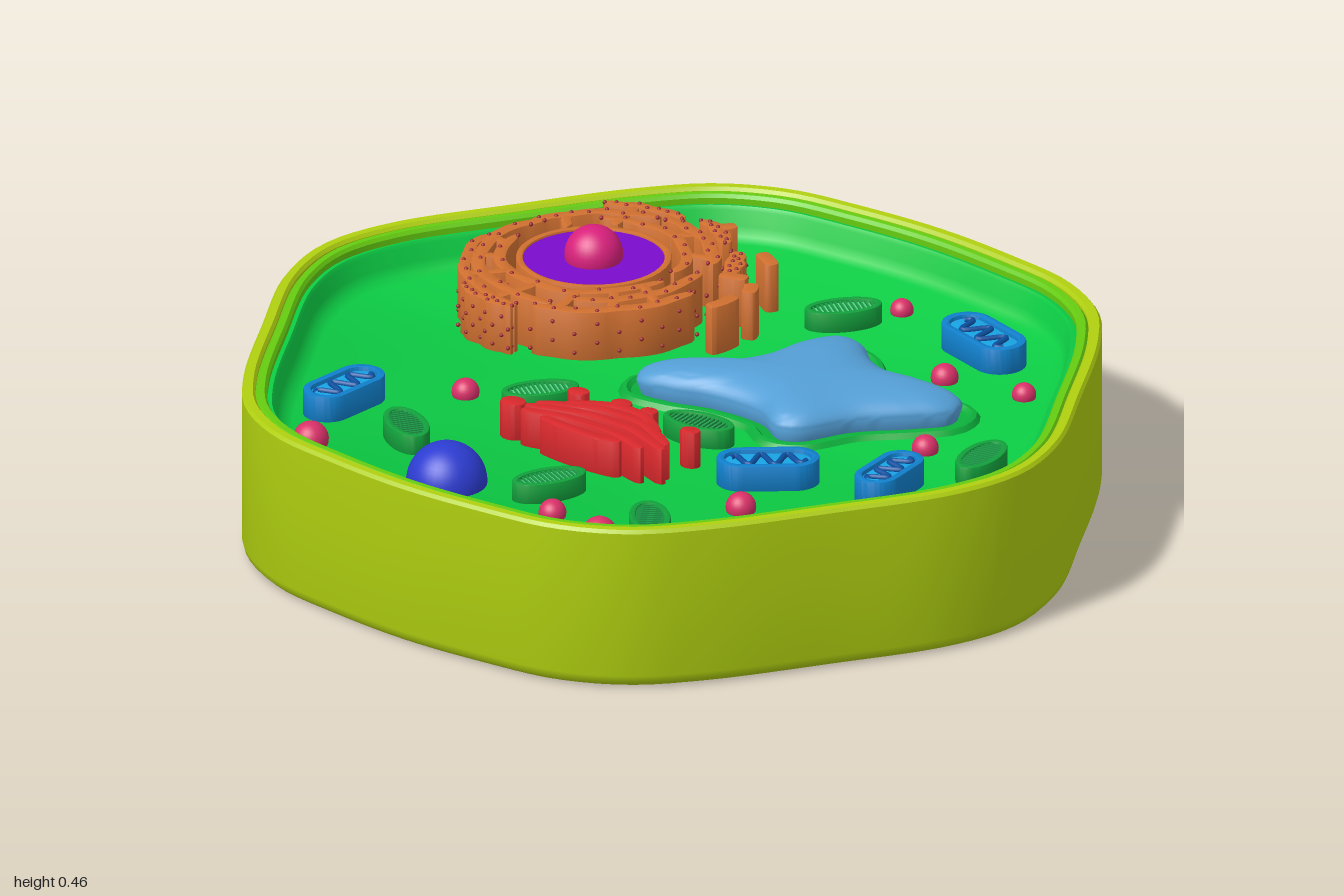
import * as THREE from 'three';
import { mergeGeometries, toCreasedNormals } from 'three/addons/utils/BufferGeometryUtils.js';

const FLOOR = 0.28;
const V2 = (p) => new THREE.Vector2(p[0], p[1]);

function add(parent, name, geo, color, x = 0, y = 0, z = 0) {
  const mat = new THREE.MeshStandardMaterial({ color });
  const mesh = new THREE.Mesh(geo, mat);
  mesh.name = name;
  mesh.position.set(x, y, z);
  parent.add(mesh);
  return mesh;
}

// Closed smooth outline in the x/z plane, running from +x towards +z
function outline(points, n) {
  const c = new THREE.CatmullRomCurve3(points.map(([x, z]) => new THREE.Vector3(x, 0, z)), true);
  return Array.from({ length: n }, (_, i) => {
    const p = c.getPointAt(i / n), t = c.getTangentAt(i / n);
    return { x: p.x, z: p.z, nx: t.z, nz: -t.x };
  });
}

// Rings of one outline; each profile entry is [inset, y, scale about the centre]
function loft(line, profile, cx = 0, cz = 0, crease = 0.6) {
  const pos = [], idx = [], n = line.length;
  for (const [inset, y, s = 1] of profile)
    for (const p of line)
      pos.push(cx + (p.x - p.nx * inset - cx) * s, y, cz + (p.z - p.nz * inset - cz) * s);
  for (let i = 0; i < profile.length - 1; i++)
    for (let j = 0; j < n; j++) {
      const a = i * n + j, b = i * n + (j + 1) % n;
      if (profile[i][2] !== 0) idx.push(a, a + n, b);
      if (profile[i + 1][2] !== 0) idx.push(b, a + n, b + n);
    }
  const g = new THREE.BufferGeometry();
  g.setAttribute('position', new THREE.Float32BufferAttribute(pos, 3));
  g.setIndex(idx);
  return toCreasedNormals(g, crease);
}

// Flat shape (x, z) extruded down from y = top
function slab(shape, top, height, bevel = 0.006) {
  const g = new THREE.ExtrudeGeometry(shape, {
    depth: height - bevel, bevelEnabled: true, bevelSize: bevel, bevelThickness: bevel,
    bevelSegments: 2, curveSegments: 20,
  });
  g.rotateX(Math.PI / 2).translate(0, top - bevel, 0);
  return toCreasedNormals(g, 0.7);
}

// Round-ended band of half width w along a path
function ribbon(points, w, n = 24) {
  const c = new THREE.SplineCurve(points.map(V2)), L = [], R = [];
  for (let i = 0; i <= n; i++) {
    const t = i / n, p = c.getPoint(t), d = c.getTangent(t);
    const k = w * (0.25 + 0.75 * Math.sqrt(1 - Math.abs(2 * t - 1) ** 6));
    L.push(new THREE.Vector2(p.x - d.y * k, p.y + d.x * k));
    R.unshift(new THREE.Vector2(p.x + d.y * k, p.y - d.x * k));
  }
  return new THREE.Shape([...L, ...R]);
}

function ellipse(a, b) {
  return new THREE.Shape().absellipse(0, 0, a, b, 0, Math.PI * 2);
}

function buildShell(g) {
  const q = [[0.935, 0], [0.92, 0.22], [0.89, 0.4], [0.81, 0.55], [0.68, 0.665], [0.43, 0.82], [0.18, 0.96]];
  const inner = q.slice(1);
  const flip = (list, sx, sz) => list.map(([x, z]) => [x * sx, z * sz]);
  const line = outline([
    ...q, [0, 1], ...flip(inner, -1, 1).reverse(), [-0.935, 0],
    ...flip(inner, -1, -1), [0, -1], ...flip(inner, 1, -1).reverse(),
  ], 144);
  add(g, 'cellWall', loft(line, [[0.03, 0, 0], [0.03, 0], [0.015, 0.004], [0.004, 0.015], [0, 0.03],
    [0, 0.372], [0.006, 0.38], [0.024, 0.38], [0.03, 0.372], [0.03, 0.34]]), 0xb0d010);
  add(g, 'cellMembrane', loft(line, [[0.03, 0.34], [0.03, 0.366], [0.036, 0.374], [0.05, 0.374],
    [0.056, 0.366], [0.056, 0.33]]), 0x66cc10);
  add(g, 'cytoplasm', loft(line, [[0.056, 0.33], [0.056, 0.352], [0.066, 0.354], [0.072, 0.345], [0.078, 0.31],
    [0.09, 0.29], [0.11, FLOOR], [0.11, FLOOR, 0]]), 0x0ccc44);
}

function buildVacuole(g) {
  const cx = 0.17, cz = 0.25;
  const line = outline([[-0.035, -0.07], [0.02, -0.1], [0.07, -0.05], [0.13, 0.03], [0.22, 0.075], [0.35, 0.095],
    [0.425, 0.14], [0.42, 0.2], [0.36, 0.28], [0.33, 0.37], [0.34, 0.48], [0.33, 0.56], [0.27, 0.58], [0.2, 0.53],
    [0.1, 0.44], [-0.02, 0.38], [-0.04, 0.33], [0, 0.25], [0, 0.12], [-0.03, 0.02]], 96);
  const dome = Array.from({ length: 13 }, (_, i) => {
    const a = i / 12 * Math.PI / 2;
    return [0, FLOOR + 0.03 + 0.055 * Math.sin(a), i === 12 ? 0 : Math.cos(a) ** 0.6];
  });
  add(g, 'vacuole', loft(line, [[0.01, FLOOR], ...dome], cx, cz, 1.2), 0x549fd6);
  add(g, 'vacuoleLip', loft(line, [[-0.04, FLOOR], [-0.032, FLOOR + 0.012], [-0.022, FLOOR + 0.014],
    [-0.012, FLOOR + 0.004], [0.01, FLOOR + 0.002]]), 0x0cb03c);
}

function buildNucleus(g) {
  const cx = 0.305, cz = -0.48, top = 0.394;
  const at = (r, deg) => [cx + r * Math.cos(deg * Math.PI / 180), cz + r * Math.sin(deg * Math.PI / 180)];
  add(g, 'nucleus', new THREE.CylinderGeometry(0.158, 0.158, 0.103, 64), 0x7a0ccc, cx, 0.3315, cz);
  add(g, 'nucleolus', new THREE.SphereGeometry(0.065, 32, 20), 0xd8207c, cx, 0.395, cz);
  const ring = ellipse(0.17, 0.17);
  ring.holes.push(ellipse(0.159, 0.159));
  add(g, 'nuclearEnvelope', slab(ring, 0.388, 0.108, 0.002), 0xd07030, cx, 0, cz);

  // Folded sheets: [start radius, start angle, end radius, end angle, half width]
  const folds = [[0.33, 172, 0.26, 255, 0.011], [0.285, 160, 0.225, 290, 0.013], [0.21, 95, 0.205, 262, 0.012],
    [0.315, 165, 0.305, 95, 0.014], [0.255, 150, 0.255, 75, 0.013], [0.225, 280, 0.25, 355, 0.012],
    [0.255, 0, 0.265, 62, 0.014], [0.205, -35, 0.205, 80, 0.011], [0.29, 325, 0.285, 365, 0.011],
    [0.345, 172, 0.335, 200, 0.009], [0.31, 12, 0.3, 38, 0.014], [0.315, 48, 0.32, 68, 0.016]];
  // Short bridges between the sheets: [angle, inner radius, outer radius]
  for (const [a, r0, r1] of [[178, 0.21, 0.325], [205, 0.21, 0.31], [228, 0.21, 0.29], [250, 0.2, 0.26], [150, 0.2, 0.31],
    [128, 0.21, 0.31], [108, 0.2, 0.3], [300, 0.17, 0.23], [335, 0.17, 0.28], [20, 0.2, 0.26], [50, 0.2, 0.26]])
    folds.push([r0, a, r1, a + 5, 0.009]);
  const er = new THREE.Group();
  er.name = 'endoplasmicReticulum';
  g.add(er);
  const sheets = [], dots = [];
  folds.forEach(([r0, a0, r1, a1, w], k) => {
    const pts = Array.from({ length: 9 }, (_, i) => {
      const t = i / 8;
      return at(r0 + (r1 - r0) * t + 0.004 * Math.sin(i * 2 + k), a0 + (a1 - a0) * t);
    });
    sheets.push(slab(ribbon(pts, w), top, top - FLOOR, 0.003));
    if (k < 12) pts.forEach(([x, z], i) => {
      const s = i % 2 ? 1 : -1, rx = (x - cx) / r0, rz = (z - cz) / r0;
      dots.push([x + rx * w * 0.5 * s, top, z + rz * w * 0.5 * s]);
      for (const y of [0.31, 0.355]) dots.push([x + rx * (w + 0.003), y + 0.012 * s, z + rz * (w + 0.003)]);
    });
  });
  // Loose fragments: [x, z, half length, angle]
  for (const [x, z, l, a] of [[0.285, -0.095, 0.04, 5], [0.38, -0.095, 0.025, -30], [0.44, -0.2, 0.045, -35],
    [0.53, -0.17, 0.035, -60], [0.61, -0.36, 0.025, 40], [0.41, -0.165, 0.03, 70]]) {
    const dx = l * Math.cos(a * Math.PI / 180), dz = l * Math.sin(a * Math.PI / 180);
    sheets.push(slab(ribbon([[x - dx, z - dz], [x, z + 0.004], [x + dx, z + dz]], 0.014), top, top - FLOOR, 0.003));
  }
  add(er, 'sheets', mergeGeometries(sheets), 0xd07030);
  add(er, 'ribosomes', mergeGeometries(dots.map((p) => new THREE.IcosahedronGeometry(0.005, 1).translate(...p))), 0x9c2a30);
}

function buildGolgi(g) {
  const geos = [];
  // Stacked curved sacs: [x, z start, z end, bulge]
  for (const [x, z0, z1, b] of [[-0.415, -0.03, 0.19, -0.005], [-0.385, -0.09, 0.25, 0.02], [-0.35, -0.1, 0.29, 0.03],
    [-0.315, -0.09, 0.28, 0.04], [-0.28, -0.04, 0.22, 0.035]])
    geos.push(slab(ribbon([[x - b, z0], [x + b * 0.5, (z0 * 2 + z1) / 3], [x + b * 0.5, (z0 + z1 * 2) / 3],
      [x - b, z1]], 0.011), 0.365, 0.085, 0.004));
  for (const [x, z, r] of [[-0.385, -0.135, 0.027], [-0.25, -0.06, 0.022], [-0.24, 0.055, 0.022],
    [-0.235, 0.13, 0.018], [-0.26, 0.27, 0.02]])
    geos.push(slab(ellipse(r * 0.8, r), 0.365, 0.085, 0.004).translate(x, 0, z));
  add(g, 'golgiBody', mergeGeometries(geos), 0xd8282c);
}

function buildMitochondrion(g, x, z, deg, s) {
  const m = new THREE.Group();
  m.name = 'mitochondrion';
  m.position.set(x, FLOOR, z);
  m.rotation.y = -deg * Math.PI / 180;
  const pill = (l, r) => new THREE.Shape().absarc(l, 0, r, -Math.PI / 2, Math.PI / 2).absarc(-l, 0, r, Math.PI / 2, Math.PI * 1.5);
  const rim = pill(0.055 * s, 0.05 * s);
  rim.holes.push(pill(0.055 * s, 0.04 * s));
  add(m, 'outerMembrane', slab(rim, 0.06, 0.06, 0.004), 0x1080cc);
  add(m, 'matrix', slab(pill(0.055 * s, 0.044 * s), 0.05, 0.05, 0.002), 0x18a4e4);
  const wave = Array.from({ length: 29 }, (_, i) => {
    const t = i / 28 * 2 - 1;
    return new THREE.Vector3(t * 0.08 * s, 0.052, Math.sin(t * 9) * 0.027 * s * (1 - 0.3 * t * t));
  });
  add(m, 'cristae', new THREE.TubeGeometry(new THREE.CatmullRomCurve3(wave), 90, 0.007, 8), 0x0c50a0);
  g.add(m);
}

function buildChloroplast(g, x, z, deg) {
  const c = new THREE.Group();
  c.name = 'chloroplast';
  c.position.set(x, FLOOR, z);
  c.rotation.y = -deg * Math.PI / 180;
  const rim = ellipse(0.084, 0.042);
  rim.holes.push(ellipse(0.077, 0.035));
  add(c, 'membrane', slab(rim, 0.046, 0.046, 0.004), 0x12a03c);
  add(c, 'stroma', slab(ellipse(0.078, 0.036), 0.038, 0.038, 0.002), 0x58d884);
  const stripes = [];
  for (let i = -6; i <= 6; i++) {
    const px = i * 0.011;
    stripes.push(new THREE.BoxGeometry(0.004, 0.008, 0.07 * Math.sqrt(1 - (px / 0.08) ** 2)).translate(px, 0.039, 0));
  }
  add(c, 'thylakoids', mergeGeometries(stripes), 0x1c9c48);
  g.add(c);
}

export function createModel() {
  const g = new THREE.Group();
  g.name = 'plantCell';
  buildShell(g);
  buildVacuole(g);
  buildNucleus(g);
  buildGolgi(g);
  for (const m of [[-0.495, -0.53, 2, 1], [-0.22, 0.46, 48, 1.05], [-0.09, 0.7, -8, 0.92], [0.625, 0.375, -75, 1.1]])
    buildMitochondrion(g, ...m);
  for (const c of [[-0.555, -0.3, -58], [-0.22, -0.195, 35], [-0.585, 0.135, 25], [-0.135, 0.19, 82],
    [-0.615, 0.45, -45], [0.12, 0.79, -12], [0.56, 0.025, 35]]) buildChloroplast(g, ...c);
  for (const [x, z, r] of [[-0.705, -0.45, 0.04], [-0.28, -0.36, 0.031], [-0.675, 0.22, 0.031], [-0.705, 0.38, 0.04],
    [-0.385, 0.52, 0.034], [0.13, 0.62, 0.03], [0.46, 0.4, 0.031], [0.5, 0.595, 0.027], [0.69, 0.085, 0.026]])
    add(g, 'vesicle', new THREE.SphereGeometry(r, 24, 16), 0xd83068, x, FLOOR + r * 0.3, z);
  add(g, 'peroxisome', new THREE.SphereGeometry(0.09, 36, 24), 0x2c3cd0, -0.68, FLOOR + 0.005, -0.08);
  return g;
}
